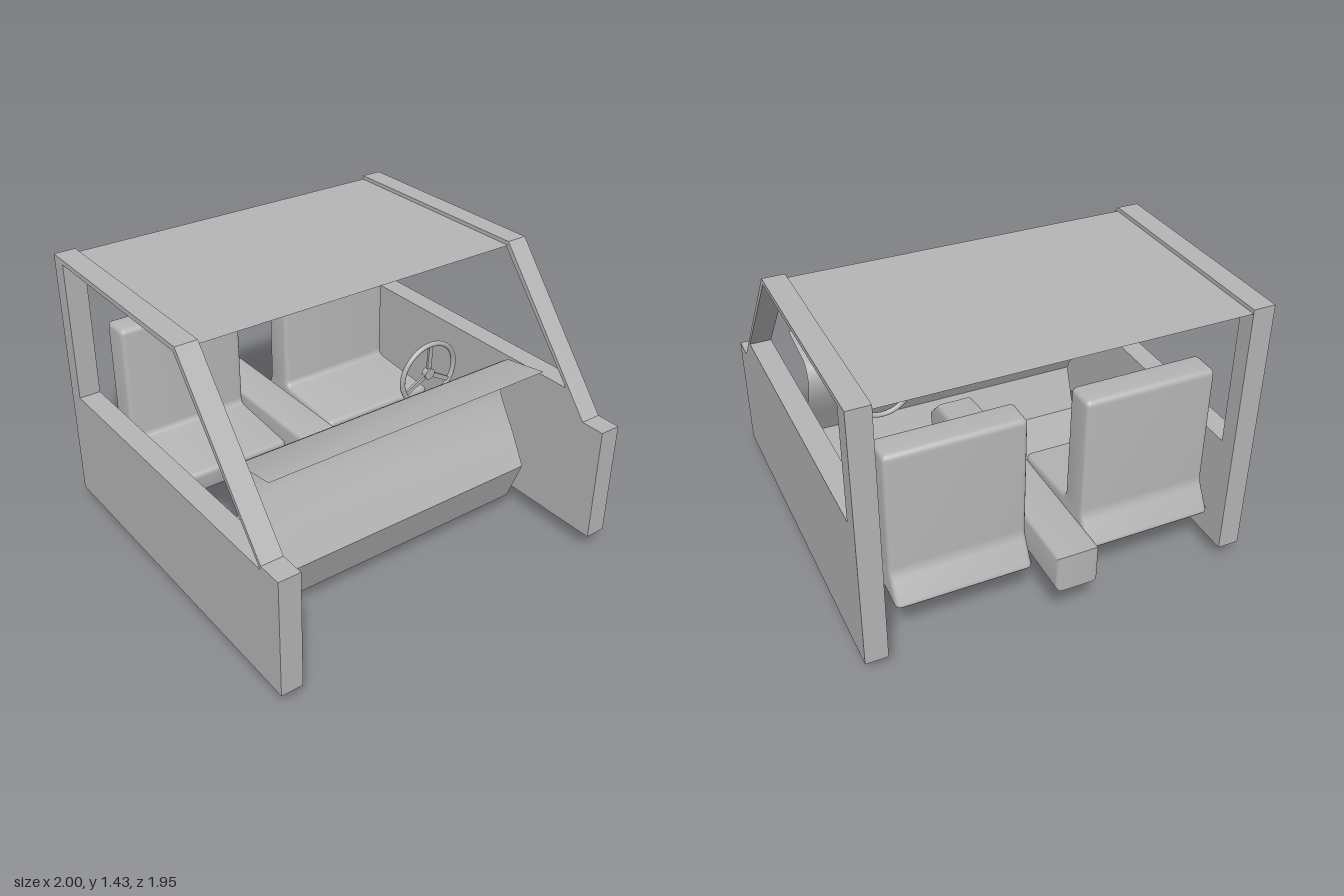
import * as THREE from 'three';
import { toCreasedNormals } from 'three/addons/utils/BufferGeometryUtils.js';

const grey = new THREE.MeshStandardMaterial({ color: 0xb4b4b4, side: THREE.DoubleSide });
grey.name = 'plain grey';

// Closed outline in the x-y plane with rounded corners
function outline(points, radius = 0) {
  const shape = new THREE.Shape();
  const v = points.map(([x, y]) => new THREE.Vector2(x, y));
  v.forEach((p, i) => {
    const prev = v[(i + v.length - 1) % v.length];
    const next = v[(i + 1) % v.length];
    const a = p.clone().add(prev.clone().sub(p).setLength(radius));
    const b = p.clone().add(next.clone().sub(p).setLength(radius));
    if (i === 0) shape.moveTo(a.x, a.y);
    else shape.lineTo(a.x, a.y);
    if (radius) shape.quadraticCurveTo(p.x, p.y, b.x, b.y);
  });
  shape.closePath();
  return shape;
}

// Solid slab spanning z0..z1, optionally with softened side edges
function slab(name, shape, z0, z1, bevel = 0) {
  const g = new THREE.ExtrudeGeometry(shape, {
    depth: z1 - z0 - 2 * bevel, curveSegments: 5,
    bevelEnabled: bevel > 0, bevelSize: bevel, bevelThickness: bevel,
    bevelOffset: -bevel, bevelSegments: 4,
  });
  g.translate(0, 0, z0 + bevel);
  const mesh = new THREE.Mesh(toCreasedNormals(g, 0.6), grey);
  mesh.name = name;
  return mesh;
}

// Open sheet following a side profile across the cabin width
function sheet(name, profile, halfWidth) {
  const pos = [];
  const index = [];
  profile.forEach(([x, y], i) => {
    pos.push(x, y, -halfWidth, x, y, halfWidth);
    if (i) {
      const k = 2 * i;
      index.push(k - 2, k - 1, k, k, k - 1, k + 1);
    }
  });
  const g = new THREE.BufferGeometry();
  g.setAttribute('position', new THREE.Float32BufferAttribute(pos, 3));
  g.setIndex(index);
  const mesh = new THREE.Mesh(toCreasedNormals(g, 0.7), grey);
  mesh.name = name;
  return mesh;
}

// Door panel and window frame in one piece
function door(name, sill, z0, z1) {
  const shape = outline([[-0.875, 0.09], [1, 0.09], [1, 0.7], [0.875, 0.7], [0.28, 1.43], [-0.875, 1.43]]);
  const sillEnd = 0.87 - (sill - 0.68) * 0.834;
  shape.holes.push(outline([[-0.785, sill], [-0.785, 1.405], [0.265, 1.405], [sillEnd, sill]]));
  return slab(name, shape, z0, z1);
}

function steeringWheel() {
  const wheel = new THREE.Group();
  wheel.name = 'steeringWheel';
  const add = (name, g) => {
    const m = new THREE.Mesh(g, grey);
    m.name = name;
    wheel.add(m);
    return m;
  };
  add('wheelRim', new THREE.TorusGeometry(0.165, 0.013, 10, 40));
  add('wheelHub', new THREE.CylinderGeometry(0.03, 0.03, 0.03, 20).rotateX(Math.PI / 2));
  for (let i = 0; i < 3; i++) {
    const spoke = add('wheelSpoke', new THREE.BoxGeometry(0.024, 0.16, 0.012).translate(0, 0.083, 0));
    spoke.rotation.z = (i * 2 * Math.PI) / 3;
  }
  wheel.rotation.set(0, Math.PI / 2, -0.06, 'ZYX');
  wheel.position.set(0.18, 0.783, -0.48);
  return wheel;
}

export function createModel() {
  const model = new THREE.Group();
  model.name = 'vehicleCabin';

  // Doors; one has a higher window sill
  model.add(door('frontDoor', 0.68, 0.865, 0.975));
  model.add(door('backDoor', 0.83, -0.975, -0.865));

  // Flat roof sheet between the window rails
  model.add(sheet('roof', [[0.28, 1.41], [-0.875, 1.41]], 0.868));

  // Seats: backrest, cushion and flared rear foot in one profile
  const seat = outline([
    [-0.84, 0.3], [-0.2, 0.3], [-0.18, 0.425], [-0.595, 0.46],
    [-0.6, 1.075], [-0.755, 1.075], [-0.755, 0.45],
  ], 0.03);
  for (const z of [-0.47, 0.47]) model.add(slab('seat', seat, z - 0.33, z + 0.33, 0.025));

  // Centre tunnel
  const tunnel = outline([
    [-1, 0.28], [-0.26, 0.28], [-0.23, 0.05], [0.07, 0.05], [0.46, 0.1],
    [0.5, 0.32], [0.4, 0.42], [-0.1, 0.47], [-1, 0.475],
  ]);
  model.add(slab('centreTunnel', tunnel, -0.105, 0.105, 0.025));

  // Dashboard and firewall sheet
  model.add(sheet('dashboard', [
    [0.66, 0.905], [0.42, 0.868], [0.38, 0.84], [0.36, 0.77],
    [0.4, 0.64], [0.5, 0.48], [0.587, 0.32], [0.5, 0.09],
  ], 0.79));

  // Footwell floor with a ramp up to the firewall
  const floor = outline([[-0.22, 0], [0.09, 0], [0.5, 0.09], [0.08, 0.05], [-0.22, 0.05]]);
  model.add(slab('floor', floor, -0.79, 0.79));

  model.add(steeringWheel());
  return model;
}
